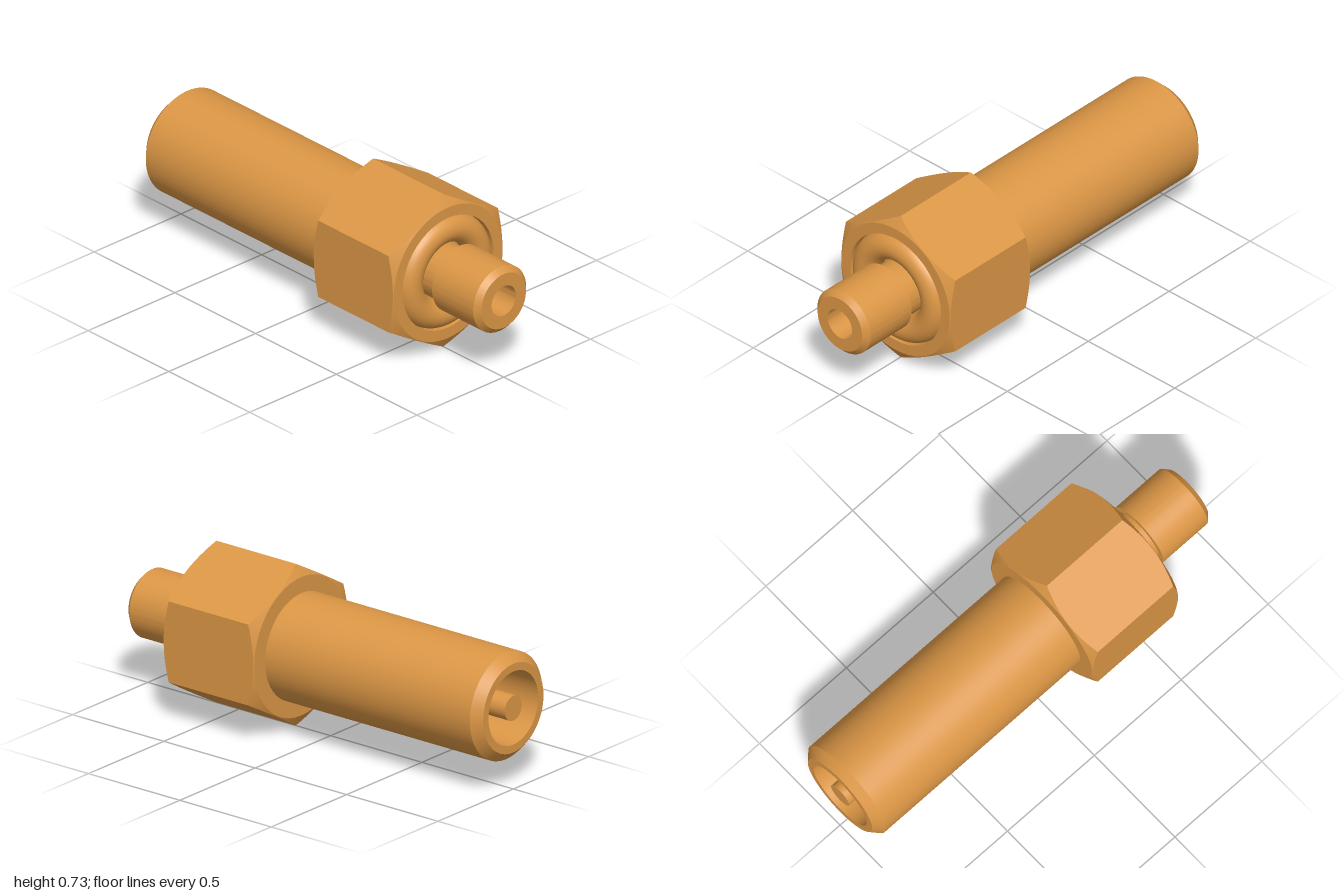
import * as THREE from 'three';
import { toCreasedNormals } from 'three/addons/utils/BufferGeometryUtils.js';

const APOTHEM = 0.316, FACE_R = 0.312, CORNER_R = APOTHEM / Math.cos(Math.PI / 6);
const HEX_BACK = 0.16, HEX_FRONT = 0.655;

export function createModel() {
  const group = new THREE.Group();
  const brass = new THREE.MeshStandardMaterial({ color: 0xdb9645 });

  const add = (name, geometry) => {
    const mesh = new THREE.Mesh(geometry, brass);
    mesh.name = name;
    mesh.position.y = CORNER_R;
    group.add(mesh);
    return mesh;
  };

  // Turned part from [radius, z] points, with an optional rule that moves vertices
  const turned = (points, rule) => {
    const g = new THREE.LatheGeometry(points.map(([r, z]) => new THREE.Vector2(r, z)), 96);
    if (rule) rule(g.attributes.position);
    g.rotateX(Math.PI / 2);
    g.deleteAttribute('normal');
    return toCreasedNormals(g, 0.35);
  };

  // Barrel with a wide socket open at the back
  add('barrel', turned([
    [0.07, 0.3], [0.165, 0.3], [0.165, -1], [0.2, -1], [0.24, -0.96], [0.24, HEX_BACK],
  ]));

  // Hexagonal body: the widest rings follow the hexagon and the chamfer cones
  const hexRule = (pos) => {
    const sector = Math.PI / 3;
    for (let i = 0; i < pos.count; i++) {
      const x = pos.getX(i), z = pos.getZ(i), r = Math.hypot(x, z);
      if (r < CORNER_R - 0.01) continue;
      const angle = Math.atan2(x, z) + 2 * Math.PI + 1e-6;
      const R = APOTHEM / Math.cos((angle % sector) - sector / 2);
      const drop = (R - FACE_R) * Math.tan(Math.PI / 6);
      const y = pos.getY(i) < 0.4 ? HEX_BACK + drop : HEX_FRONT - drop;
      pos.setXYZ(i, x * R / r, y, z * R / r);
    }
  };
  add('hexBody', turned([
    [0.24, HEX_BACK], [FACE_R, HEX_BACK], [CORNER_R, 0.19], [CORNER_R, 0.625],
    [FACE_R, HEX_FRONT], [0.262, HEX_FRONT], [0.262, 0.55], [0.124, 0.55],
  ], hexRule));

  // Front spigot with undercut neck, chamfered tip and through bore
  add('spigot', turned([
    [0.124, 0.55], [0.124, 0.72], [0.153, 0.72], [0.153, 0.975], [0.128, 1], [0.07, 1], [0.07, 0.3],
  ]));

  // Sealing ring seated in the front groove
  add('sealRing', new THREE.TorusGeometry(0.196, 0.065, 32, 96)).position.z = 0.615;

  // Centre pin carried by a flat bar across the socket
  const pinLength = 1.1;
  const pin = new THREE.CylinderGeometry(0.056, 0.056, pinLength, 48).rotateX(Math.PI / 2);
  add('centrePin', pin).position.z = -1 + pinLength / 2;
  add('crossBar', new THREE.BoxGeometry(0.325, 0.112, 0.1)).position.z = 0.12;

  return group;
}
